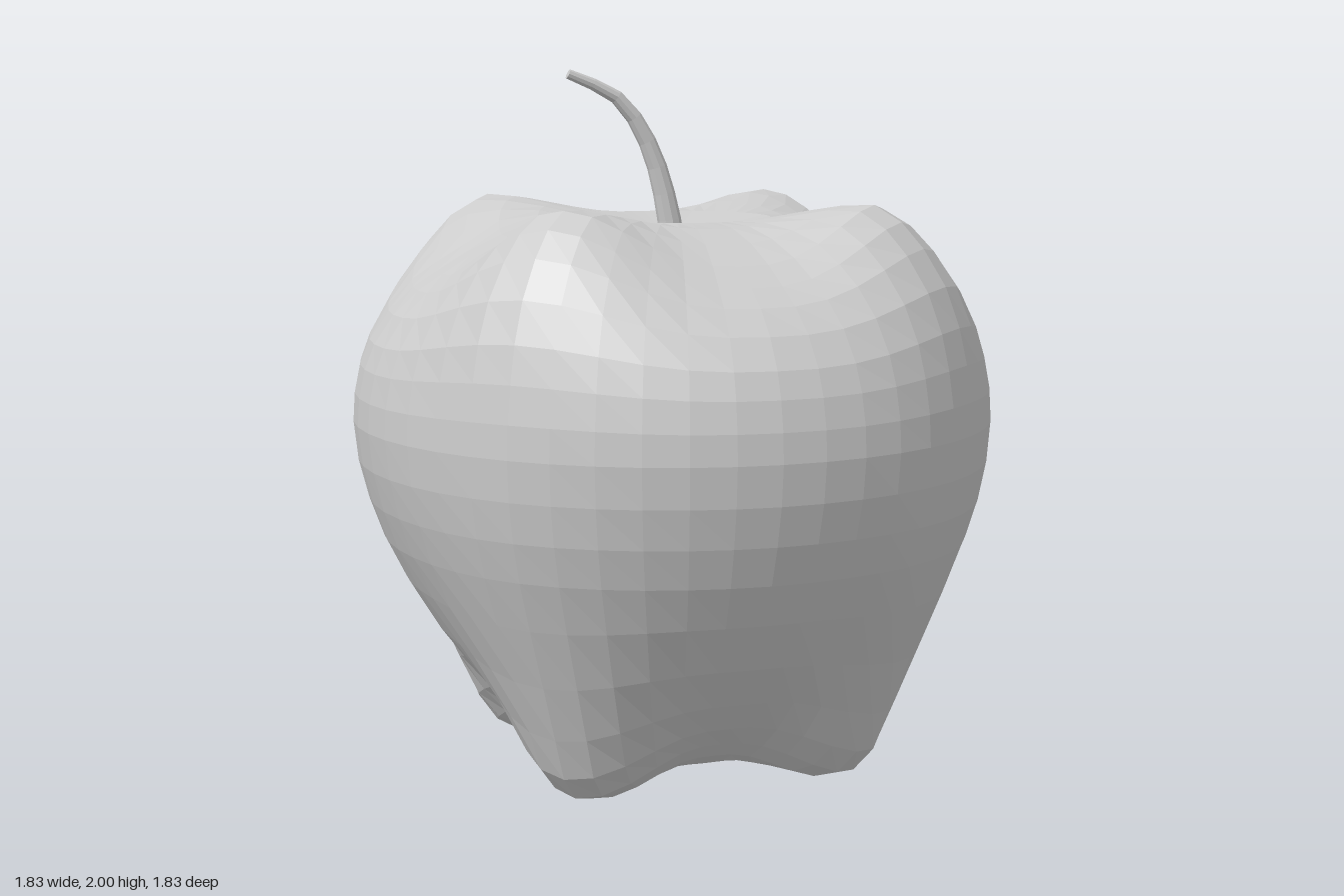
import * as THREE from 'three';

const material = new THREE.MeshStandardMaterial({ color: 0xcccccc, flatShading: true });

// Paired half-profiles [radius, height], bottom to top: along a lobe and along a valley.
const LOBE = [
  [0, 0.06], [0.16, 0.055], [0.3, 0.04], [0.4, 0.02], [0.5, 0.005], [0.58, 0.03], [0.64, 0.1],
  [0.685, 0.22], [0.745, 0.38], [0.81, 0.55], [0.86, 0.69], [0.89, 0.8], [0.908, 0.91],
  [0.915, 1.02], [0.91, 1.11], [0.895, 1.21], [0.872, 1.31], [0.83, 1.42], [0.765, 1.52],
  [0.7, 1.59], [0.62, 1.635], [0.52, 1.63], [0.4, 1.61], [0.28, 1.585], [0.14, 1.555], [0, 1.54],
];
const VALLEY = [
  [0, 0.06], [0.15, 0.055], [0.27, 0.045], [0.33, 0.07], [0.39, 0.105], [0.45, 0.155], [0.52, 0.22],
  [0.6, 0.31], [0.69, 0.43], [0.775, 0.57], [0.835, 0.69], [0.875, 0.8], [0.903, 0.91],
  [0.915, 1.02], [0.91, 1.1], [0.893, 1.18], [0.865, 1.25], [0.81, 1.33], [0.74, 1.395],
  [0.67, 1.44], [0.59, 1.49], [0.49, 1.54], [0.38, 1.575], [0.28, 1.585], [0.14, 1.555], [0, 1.54],
];

// Four-lobed fruit: a lathe whose profile blends between lobe and valley around the axis.
function createBody() {
  const segments = 48;
  const n = LOBE.length;
  const geometry = new THREE.LatheGeometry(LOBE.map(([r, y]) => new THREE.Vector2(r, y)), segments);
  const pos = geometry.attributes.position;
  for (let i = 0; i < pos.count; i++) {
    const angle = (Math.floor(i / n) / segments) * Math.PI * 2;
    const w = Math.pow(Math.abs(Math.sin(2 * angle)), 3);
    const [lr, ly] = LOBE[i % n];
    const [vr, vy] = VALLEY[i % n];
    const r = THREE.MathUtils.lerp(vr, lr, w);
    pos.setXYZ(i, r * Math.sin(angle), THREE.MathUtils.lerp(vy, ly, w), r * Math.cos(angle));
  }
  geometry.computeVertexNormals();
  const body = new THREE.Mesh(geometry, material);
  body.name = 'fruitBody';
  return body;
}

// Tapered stem: a cylinder bent along a curve in the x-y plane.
function createStem() {
  const curve = new THREE.CatmullRomCurve3([
    [0, 1.5], [-0.015, 1.61], [-0.07, 1.79], [-0.16, 1.92], [-0.305, 1.988],
  ].map(([x, y]) => new THREE.Vector3(x, y, 0)));
  const geometry = new THREE.CylinderGeometry(0.014, 0.037, 1, 10, 8);
  const pos = geometry.attributes.position;
  for (let i = 0; i < pos.count; i++) {
    const t = THREE.MathUtils.clamp(pos.getY(i) + 0.5, 0, 1);
    const p = curve.getPointAt(t);
    const dir = curve.getTangentAt(t);
    pos.setXY(i, p.x + pos.getX(i) * dir.y, p.y - pos.getX(i) * dir.x);
  }
  geometry.computeVertexNormals();
  const stem = new THREE.Mesh(geometry, material);
  stem.name = 'stem';
  return stem;
}

export function createModel() {
  const group = new THREE.Group();
  group.name = 'apple';
  group.add(createBody(), createStem());
  return group;
}
